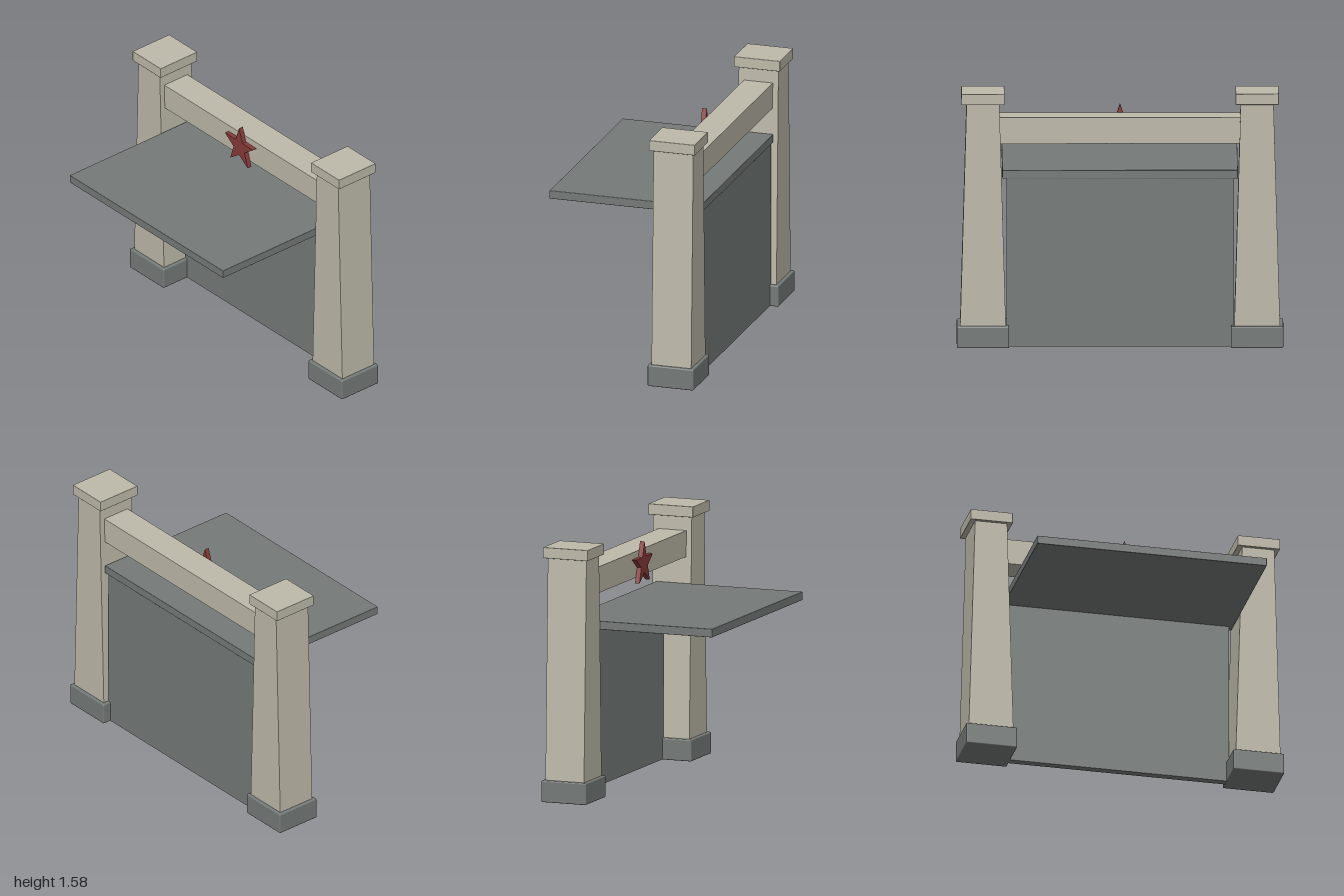
import * as THREE from 'three';
import { RoundedBoxGeometry } from 'three/addons/geometries/RoundedBoxGeometry.js';

export function createModel() {
  const group = new THREE.Group();
  const material = (name, color) => {
    const m = new THREE.MeshStandardMaterial({ color });
    m.name = name;
    return m;
  };
  const stone = material('pale stone', 0xbebaaa);
  const slate = material('slate grey', 0x757b79);
  const red = material('dark red', 0x863a38);

  const add = (name, geometry, mat) => {
    const mesh = new THREE.Mesh(geometry, mat);
    mesh.name = name;
    group.add(mesh);
    return mesh;
  };

  // Box given by its limits on each axis, with an optional softened edge
  const block = (name, [x0, x1], [y0, y1], [z0, z1], mat, bevel = 0) => {
    const size = [x1 - x0, y1 - y0, z1 - z0];
    const geometry = bevel
      ? new RoundedBoxGeometry(...size, 2, bevel)
      : new THREE.BoxGeometry(...size);
    add(name, geometry, mat).position.set((x0 + x1) / 2, (y0 + y1) / 2, (z0 + z1) / 2);
  };

  // Pillar shaft, narrowing upwards along z only
  const shaft = (name, z) => {
    const [bottom, top, low, high] = [0.28, 0.2, 0.12, 1.52];
    const geometry = new THREE.BoxGeometry(0.255, high - low, 1);
    const p = geometry.attributes.position;
    for (let i = 0; i < p.count; i++) {
      p.setZ(i, p.getZ(i) * (p.getY(i) > 0 ? top : bottom));
    }
    geometry.computeVertexNormals();
    add(name, geometry, stone).position.set(0.358, (low + high) / 2, z);
  };

  // Pair of pillars, each with a plinth and a cap
  for (const [end, s] of [['front', 1], ['back', -1]]) {
    const z = 0.838 * s;
    block(`${end}Plinth`, [0.21, 0.505], [0, 0.135], [z - 0.16, z + 0.16], slate, 0.008);
    shaft(`${end}Pillar`, z);
    block(`${end}Cap`, [0.21, 0.505], [1.51, 1.577], [z - 0.132, z + 0.132], stone, 0.003);
  }

  // Counter panel, counter top and the beam above
  block('counterPanel', [0.4, 0.45], [0.002, 1.05], [-0.695, 0.695], slate);
  block('counterTop', [-0.51, 0.458], [1.045, 1.097], [-0.72, 0.72], slate, 0.003);
  block('beam', [0.265, 0.45], [1.26, 1.422], [-0.75, 0.75], stone);

  // Five-pointed star on the inner face of the beam
  const points = [];
  for (let i = 0; i < 10; i++) {
    const r = i % 2 ? 0.054 : 0.138;
    const a = Math.PI / 2 + (i * Math.PI) / 5;
    points.push(new THREE.Vector2(r * Math.cos(a), r * Math.sin(a)));
  }
  const starGeometry = new THREE.ExtrudeGeometry(new THREE.Shape(points), {
    depth: 0.03,
    bevelEnabled: false,
  });
  const star = add('star', starGeometry, red);
  star.rotation.y = -Math.PI / 2;
  star.position.set(0.266, 1.337, 0);

  return group;
}
